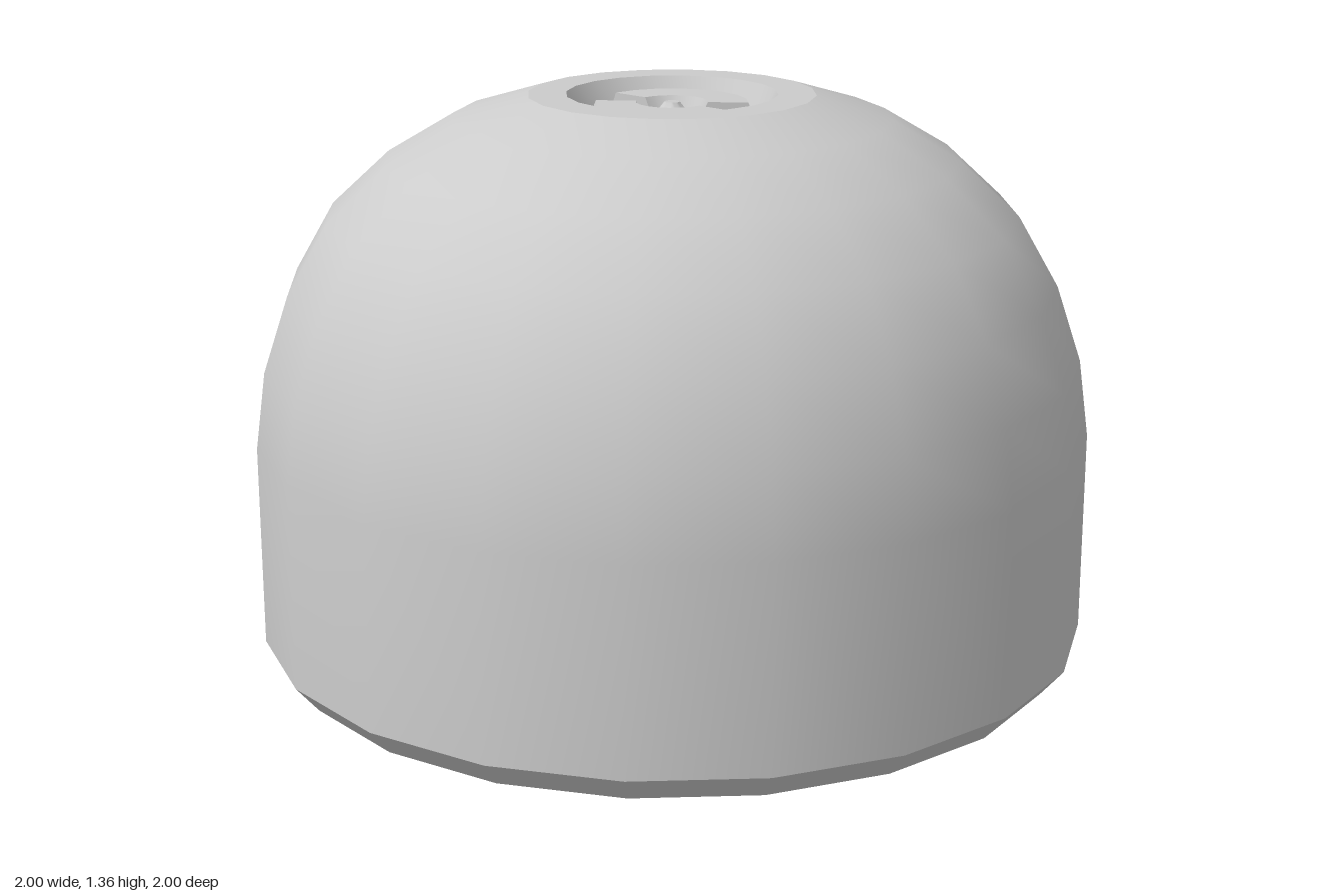
import * as THREE from 'three';
import { toCreasedNormals } from 'three/addons/utils/BufferGeometryUtils.js';

const SIDES = 20;
const TOP = 1.36;
const FLOOR = 1.28;
const STEP = (Math.PI * 2) / SIDES;

const material = new THREE.MeshStandardMaterial({ color: 0xcccccc });
const thinMaterial = new THREE.MeshStandardMaterial({ color: 0xcccccc, side: THREE.DoubleSide });

const toPoints = (profile) => profile.map(([r, y]) => new THREE.Vector2(r, y));

// Turned part with smooth facets and sharp rims
function turned(name, profile, segments = SIDES, start = 0) {
  const lathe = new THREE.LatheGeometry(toPoints(profile), segments, start, segments * STEP);
  const mesh = new THREE.Mesh(toCreasedNormals(lathe, THREE.MathUtils.degToRad(32)), material);
  mesh.name = name;
  return mesh;
}

export function createModel() {
  const model = new THREE.Group();
  model.name = 'domedCap';

  // Flat base, bevelled foot, straight wall and dome
  model.add(turned('domeBody', [
    [0, 0], [0.945, 0], [1, 0.065], [1, 0.55], [0.975, 0.735], [0.915, 0.915],
    [0.82, 1.08], [0.68, 1.21], [0.52, 1.305], [0.34, TOP],
  ]));

  // Flat rim around the recess
  model.add(turned('topRim', [[0.34, TOP], [0.25, TOP]]));

  // Recess with sloped wall, and a small stepped pin in its centre
  model.add(turned('recess', [[0.25, TOP], [0.208, FLOOR], [0.05, FLOOR]]));
  model.add(turned('centrePin', [
    [0.05, FLOOR], [0.045, 1.315], [0.03, 1.325], [0.018, 1.34], [0, 1.34],
  ]));

  // Two raised ring segments, leaving a wedge-shaped slot on each side
  const section = [[0.205, FLOOR], [0.18, 1.34], [0.085, 1.34], [0.055, FLOOR]];
  const capGeometry = new THREE.ShapeGeometry(new THREE.Shape(toPoints(section)));
  for (const first of [6, 16]) {
    const half = new THREE.Group();
    half.name = first === 6 ? 'backRingSegment' : 'frontRingSegment';
    half.add(turned('ringSurface', section, 8, first * STEP));
    for (const end of [first, first + 8]) {
      const cap = new THREE.Mesh(capGeometry, thinMaterial);
      cap.name = 'slotWall';
      cap.rotation.y = end * STEP - Math.PI / 2;
      half.add(cap);
    }
    model.add(half);
  }
  return model;
}
